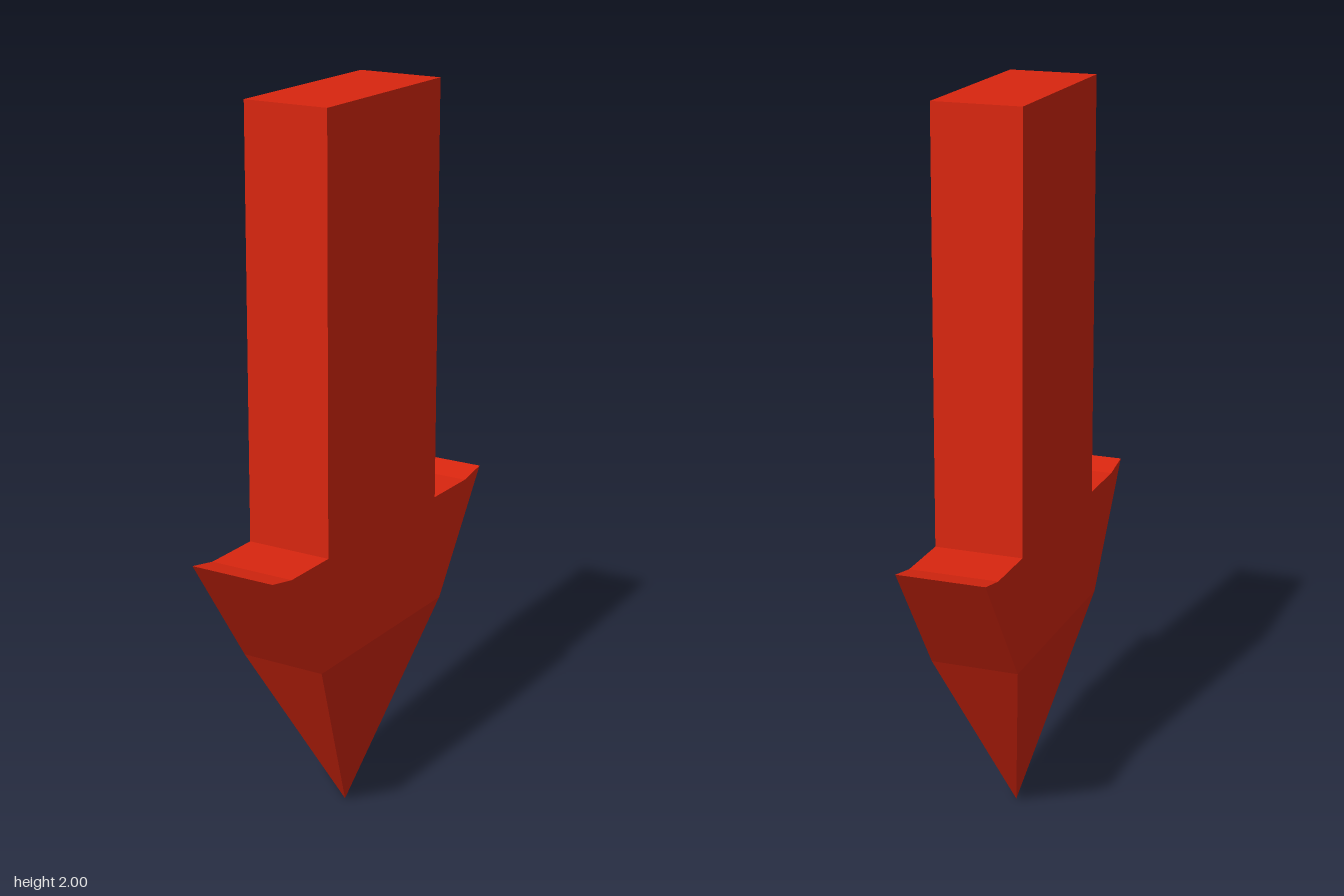
import * as THREE from 'three';

const HALF_THICK = 0.121; // half thickness in x
const NECK_Y = 0.53;      // height where the point starts
const NECK_Z = 0.311;     // half width there

export function createModel() {
  const group = new THREE.Group();
  group.name = 'downArrow';
  const red = new THREE.MeshStandardMaterial({ color: 0xd9260f, flatShading: true });

  // Shaft and barbed head: half outline mirrored, then extruded
  const half = [
    [NECK_Z, NECK_Y],
    [0.537, 0.857], // barb tip
    [0.45, 0.84],
    [0.277, 0.84],  // inner corner at the shaft
    [0.277, 2],
  ];
  const mirrored = half.map(([w, y]) => [-w, y]).reverse();
  const outline = new THREE.Shape([...half, ...mirrored].map(([w, y]) => new THREE.Vector2(w, y)));
  const bodyGeometry = new THREE.ExtrudeGeometry(outline, { depth: 2 * HALF_THICK, bevelEnabled: false });
  bodyGeometry.translate(0, 0, -HALF_THICK).rotateY(Math.PI / 2);
  const body = new THREE.Mesh(bodyGeometry, red);
  body.name = 'shaftAndBarbs';
  group.add(body);

  // Point: open four-sided cone turned upside down, stretched to the neck's rectangle
  const pointGeometry = new THREE.ConeGeometry(Math.SQRT2, NECK_Y, 4, 1, true);
  pointGeometry.rotateY(Math.PI / 4).rotateX(Math.PI);
  pointGeometry.scale(HALF_THICK, 1, NECK_Z).translate(0, NECK_Y / 2, 0);
  const point = new THREE.Mesh(pointGeometry, red);
  point.name = 'point';
  group.add(point);

  return group;
}
